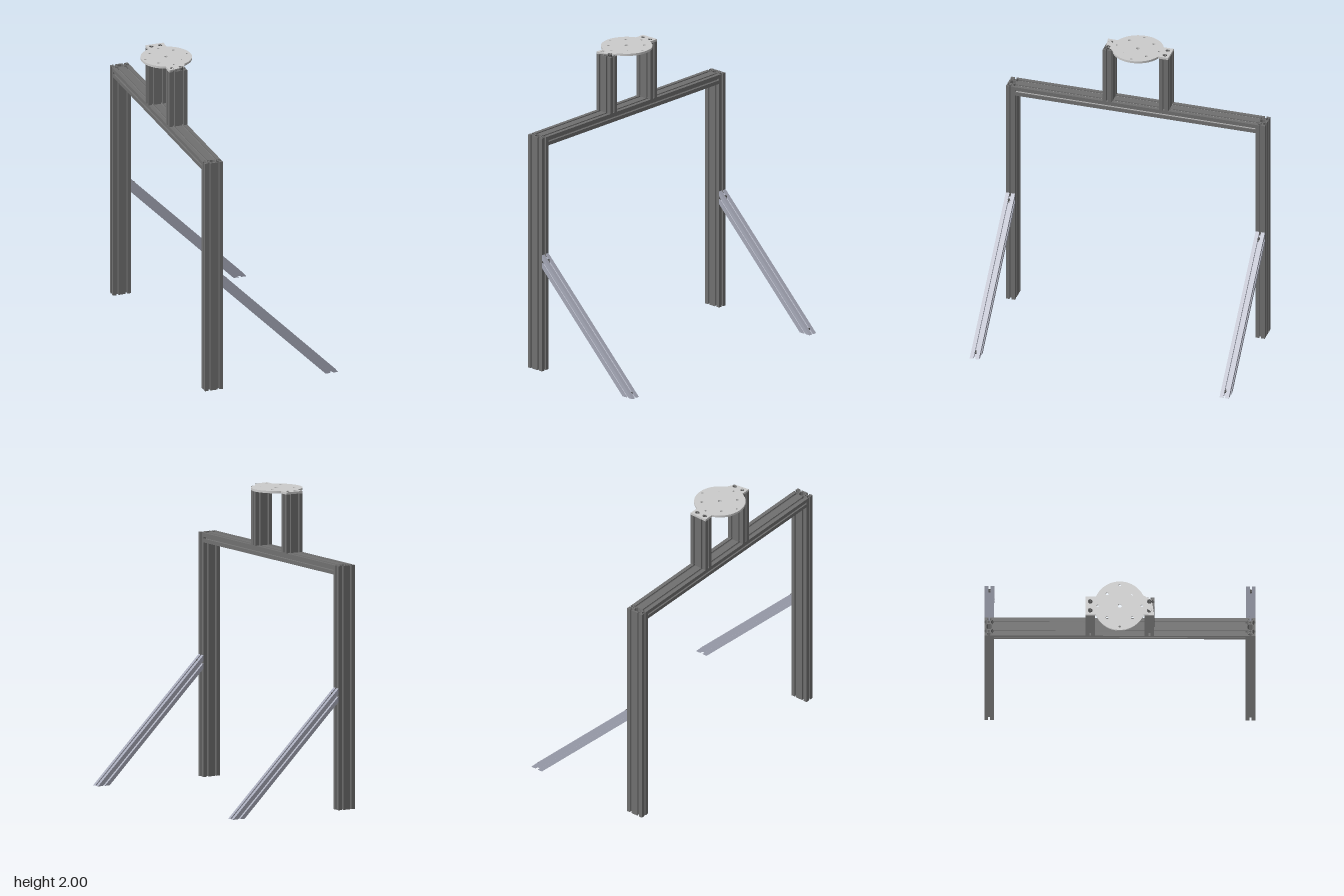
import * as THREE from 'three';

const S = 0.062;          // edge of one profile cell
const X0 = -0.349;        // x of the upright frame
const LEG_Z = 0.847;      // z of the legs
const POST_Z = 0.192;     // z of the short posts

const dark = new THREE.MeshStandardMaterial({ color: 0x707070 });
const light = new THREE.MeshStandardMaterial({ color: 0xa6a9b8 });
const grey = new THREE.MeshStandardMaterial({ color: 0xcccccc });
const steel = new THREE.MeshStandardMaterial({ color: 0x555555 });

function circleHole(x, y, r) {
  const p = new THREE.Path();
  p.absarc(x, y, r, 0, Math.PI * 2, true);
  return p;
}

// T-slotted cross-section, one cell high and "cells" wide
function slottedShape(cells) {
  const slot = [[-0.1, 0], [-0.1, 0.11], [-0.25, 0.11], [-0.25, 0.16], [-0.11, 0.31],
    [0.11, 0.31], [0.25, 0.16], [0.25, 0.11], [0.1, 0.11], [0.1, 0]];
  const pts = [];
  // walk the four sides counter-clockwise, cutting one slot per cell
  for (let side = 0; side < 4; side++) {
    const n = side % 2 ? 1 : cells;
    const depth = side % 2 ? cells / 2 : 0.5;
    const a = side * Math.PI / 2, c = Math.cos(a), s = Math.sin(a);
    const add = (u, d) => {
      const v = d - depth;
      pts.push(new THREE.Vector2((u * c - v * s) * S, (u * s + v * c) * S));
    };
    add(-n / 2, 0);
    for (let i = 0; i < n; i++) slot.forEach(([u, d]) => add(u + i - (n - 1) / 2, d));
  }
  const shape = new THREE.Shape(pts);
  // round bore in every core
  for (let i = 0; i < cells; i++) shape.holes.push(circleHole((i - (cells - 1) / 2) * S, 0, 0.1 * S));
  // octagonal chamber between neighbouring cores
  if (cells === 2) {
    const oct = [[0.3, 0.14], [0.16, 0.3], [-0.16, 0.3], [-0.3, 0.14],
      [-0.3, -0.14], [-0.16, -0.3], [0.16, -0.3], [0.3, -0.14]];
    shape.holes.push(new THREE.Path(oct.map(([x, y]) => new THREE.Vector2(x * S, y * S)).reverse()));
  }
  return shape;
}

function extrude(shape, depth, curveSegments = 8) {
  return new THREE.ExtrudeGeometry(shape, { depth, bevelEnabled: false, curveSegments });
}

function addMesh(parent, name, geometry, material, x = 0, y = 0, z = 0) {
  const mesh = new THREE.Mesh(geometry, material);
  mesh.name = name;
  mesh.position.set(x, y, z);
  parent.add(mesh);
  return mesh;
}

// 45 degree brace: upper end cut upright, lower end cut level
function braceGeometry() {
  const g = extrude(slottedShape(1), 1);
  const p = g.attributes.position;
  const k = Math.SQRT1_2, top = 0.755, length = top / k;
  for (let i = 0; i < p.count; i++) {
    const u = p.getX(i), v = p.getY(i), t = p.getZ(i);
    const s = -v + t * (length + 2 * v);
    p.setXYZ(i, X0 + S + k * (v + s), top + k * (v - s), -u);
  }
  g.computeVertexNormals();
  return g;
}

// Round plate with a rectangular tab at front and back
function plateGeometry() {
  const r = 0.167, w = S, h = 0.223, a = Math.acos(w / r);
  const shape = new THREE.Shape();
  shape.moveTo(w, -h);
  shape.absarc(0, 0, r, -a, a, false);
  shape.lineTo(w, h);
  shape.lineTo(-w, h);
  shape.absarc(0, 0, r, Math.PI - a, Math.PI + a, false);
  shape.lineTo(-w, -h);
  shape.closePath();
  shape.holes.push(circleHole(0, 0, 0.013));
  for (const s of [-1, 1]) {
    shape.holes.push(circleHole(s * 0.143, 0, 0.008), circleHole(0, s * 0.143, 0.008));
    for (const q of [-1, 1]) {
      shape.holes.push(circleHole(s * 0.082, q * 0.082, 0.01));
      shape.holes.push(circleHole(s * S / 2, q * POST_Z, 0.016));
    }
  }
  return extrude(shape, 0.015, 24).rotateX(-Math.PI / 2);
}

// Cap screw with a hollow socket, pointing up
function screwGeometry(r, h) {
  const pts = [[0, 0], [r, 0], [r, h], [r * 0.5, h], [r * 0.5, h * 0.4], [0, h * 0.4]];
  return new THREE.LatheGeometry(pts.map(([x, y]) => new THREE.Vector2(x, y)), 16);
}

export function createModel() {
  const model = new THREE.Group();
  model.name = 'slottedProfileStand';
  const wide = slottedShape(2);
  const leg = extrude(wide, 1.6).rotateX(-Math.PI / 2);
  const post = extrude(wide, 0.385).rotateX(-Math.PI / 2);
  const span = 2 * LEG_Z - S;
  const brace = braceGeometry();
  const screw = screwGeometry(0.0125, 0.012);

  // cross beam between the legs
  addMesh(model, 'crossBeam', extrude(wide, span), dark, X0, 1.6 - S / 2, -span / 2);

  for (const [side, s] of [['front', 1], ['back', -1]]) {
    addMesh(model, side + 'Leg', leg, dark, X0, 0, s * LEG_Z);
    addMesh(model, side + 'Post', post, dark, X0, 1.6, s * POST_Z);
    addMesh(model, side + 'Brace', brace, light, 0, 0, s * LEG_Z);
    // screws holding the brace ends
    const upper = addMesh(model, side + 'BraceUpperScrew', screw, steel, -0.265, 0.758, s * LEG_Z);
    upper.rotation.z = -Math.PI / 2;
    addMesh(model, side + 'BraceLowerScrew', screw, steel, 0.468, 0.02, s * LEG_Z);
    // screws sunk into the plate
    for (const q of [-1, 1]) {
      addMesh(model, side + 'PlateScrew', screw, steel, X0 + q * S / 2, 1.985, s * POST_Z);
    }
  }

  // mounting plate on the posts
  addMesh(model, 'mountingPlate', plateGeometry(), grey, X0, 1.985, 0);
  return model;
}
